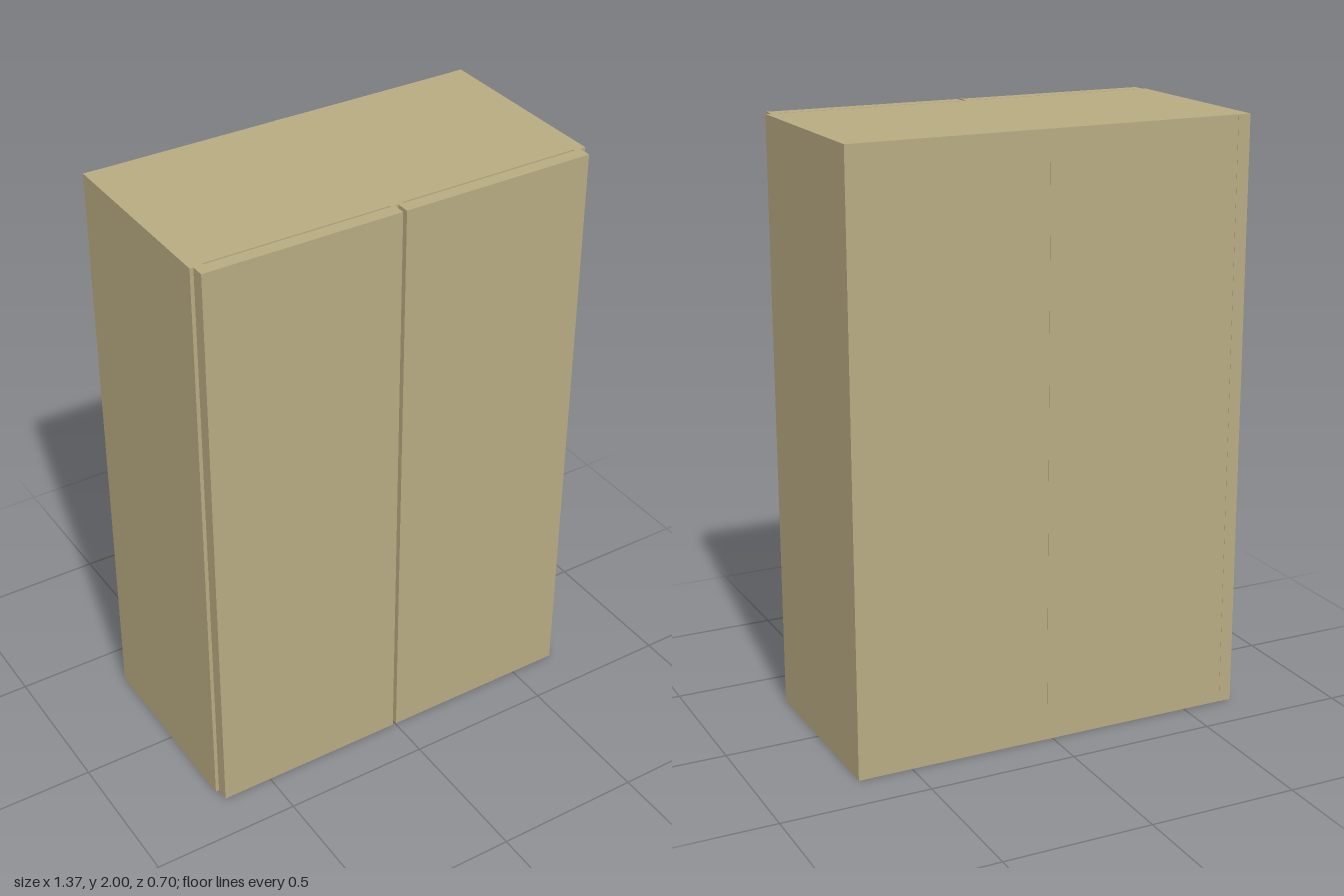
import * as THREE from 'three';

export function createModel() {
  const group = new THREE.Group();
  const wood = new THREE.MeshStandardMaterial({ color: 0xb8ab82 });
  wood.name = 'beige wood';

  // Box panel given by its limits on each axis
  function panel(name, [x0, x1], [y0, y1], [z0, z1]) {
    const mesh = new THREE.Mesh(new THREE.BoxGeometry(x1 - x0, y1 - y0, z1 - z0), wood);
    mesh.position.set((x0 + x1) / 2, (y0 + y1) / 2, (z0 + z1) / 2);
    mesh.name = name;
    group.add(mesh);
  }

  const back = -0.351, front = 0.307, t = 0.044;
  const full = [0, 2];

  // Upright panels
  panel('rightSide', [-0.683, -0.64], full, [back, front]);
  panel('divider', [-0.024, 0.02], full, [back, front]);
  panel('leftSide', [0.64, 0.683], full, [back, front]);

  // Each bay: top, bottom, shelves and back; narrow slot behind the doors
  const bays = [['right', [-0.64, -0.024]], ['left', [0.02, 0.64]]];
  for (const [side, x] of bays) {
    panel(side + 'Top', x, [2 - t, 2], [back + 0.001, 0.3]);
    panel(side + 'Bottom', x, [0, t], [back + 0.001, 0.3]);
    panel(side + 'Back', x, [t, 2 - t], [back + 0.001, back + 0.02]);
    for (const y of [0.5, 1, 1.5]) {
      panel(side + 'Shelf', x, [y - t / 2, y + t / 2], [back + 0.02, front]);
    }
  }

  // Doors
  panel('rightDoor', [-0.671, -0.01], full, [front, 0.351]);
  panel('leftDoor', [0.003, 0.663], full, [front, 0.351]);

  return group;
}
